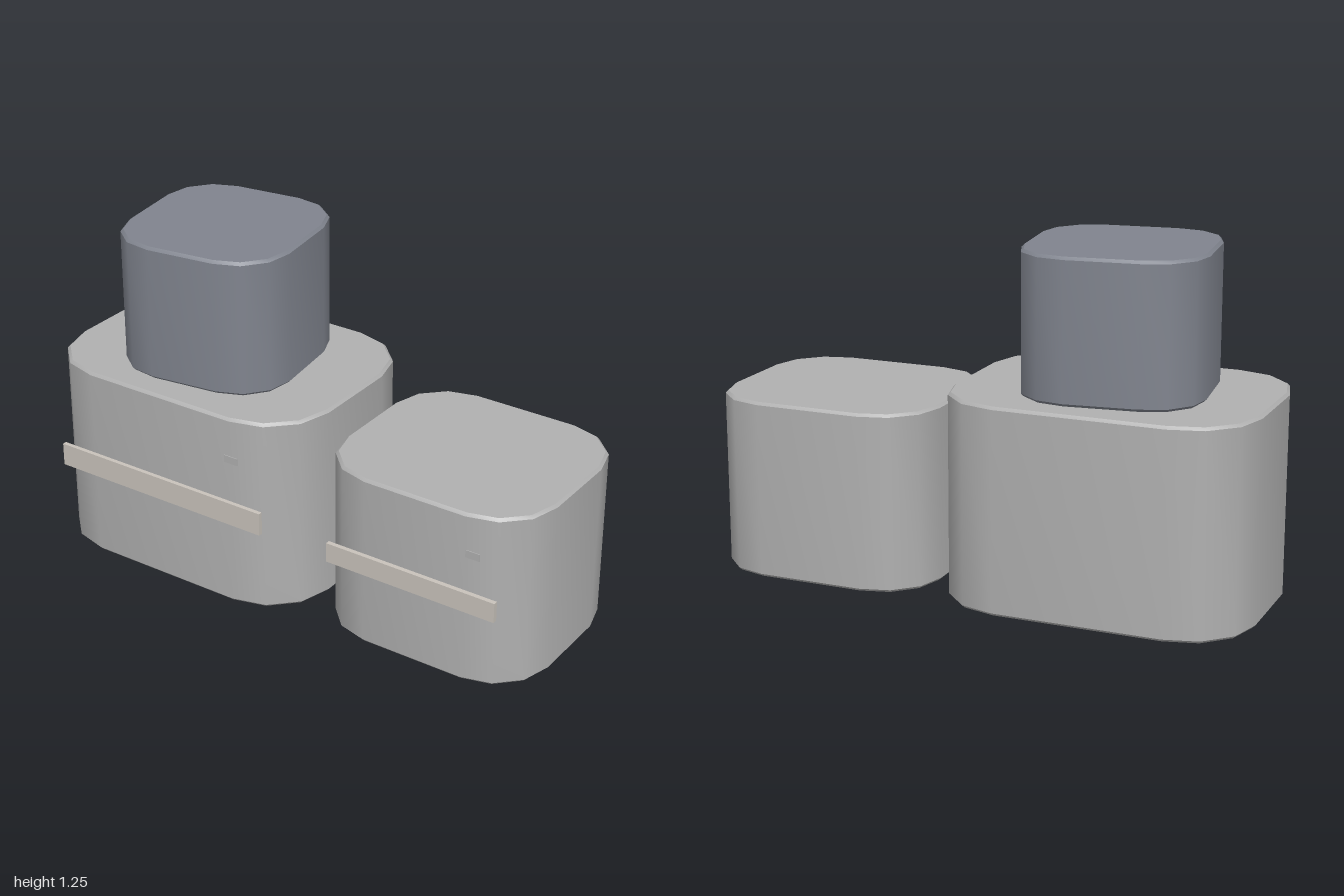
import * as THREE from 'three';
import { toCreasedNormals } from 'three/addons/utils/BufferGeometryUtils.js';

const material = (name, color) => {
  const m = new THREE.MeshStandardMaterial({ color });
  m.name = name;
  return m;
};

// Upright block with rounded vertical corners and a small chamfer top and bottom
function roundedBlock(name, w, h, d, r, mat) {
  const bevel = 0.01;
  const x = w / 2 - bevel, y = d / 2 - bevel, c = r - bevel;
  const shape = new THREE.Shape();
  shape.absarc(x - c, y - c, c, 0, Math.PI / 2);
  shape.absarc(-x + c, y - c, c, Math.PI / 2, Math.PI);
  shape.absarc(-x + c, -y + c, c, Math.PI, Math.PI * 1.5);
  shape.absarc(x - c, -y + c, c, Math.PI * 1.5, Math.PI * 2);
  shape.closePath();
  // absarc samples two points per curve segment, so corners are built explicitly
  const points = [];
  [[1, 1], [-1, 1], [-1, -1], [1, -1]].forEach(([sx, sy], i) => {
    for (let k = 0; k <= 3; k++) {
      const a = (i + k / 3) * Math.PI / 2;
      points.push(new THREE.Vector2(sx * (x - c) + c * Math.cos(a), sy * (y - c) + c * Math.sin(a)));
    }
  });
  const geometry = new THREE.ExtrudeGeometry(new THREE.Shape(points), {
    depth: h - 2 * bevel, bevelEnabled: true, bevelSegments: 1,
    bevelSize: bevel, bevelThickness: bevel,
  });
  geometry.translate(0, 0, bevel);
  geometry.rotateX(-Math.PI / 2);
  const mesh = new THREE.Mesh(toCreasedNormals(geometry, 0.6), mat);
  mesh.name = name;
  return mesh;
}

// Thin box given by its extents
function plate(name, x0, x1, y0, y1, z0, z1, mat) {
  const mesh = new THREE.Mesh(new THREE.BoxGeometry(x1 - x0, y1 - y0, z1 - z0), mat);
  mesh.position.set((x0 + x1) / 2, (y0 + y1) / 2, (z0 + z1) / 2);
  mesh.name = name;
  return mesh;
}

export function createModel() {
  const grey = material('light grey', 0xb0b0b0);
  const slate = material('slate grey', 0x80848e);
  const tape = material('beige tape', 0xc9c3bb);
  const model = new THREE.Group();
  model.name = 'stackedCrates';

  // Large crate
  const large = roundedBlock('largeCrate', 1.11, 0.74, 0.83, 0.25, grey);
  large.position.set(-0.445, 0, -0.01);

  // Small crate beside it
  const small = roundedBlock('smallCrate', 0.83, 0.65, 0.74, 0.22, grey);
  small.position.set(0.585, 0, -0.015);

  // Slightly turned crate on top
  const top = roundedBlock('topCrate', 0.644, 0.505, 0.644, 0.195, slate);
  top.position.set(-0.448, 0.745, -0.013);
  top.rotation.y = 0.13;

  model.add(large, small, top);

  // Front strips and little labels
  model.add(
    plate('largeStrip', -0.89, 0, 0.33, 0.416, 0.407, 0.423, tape),
    plate('smallStrip', 0.25, 0.915, 0.29, 0.364, 0.36, 0.377, tape),
    plate('largeLabel', -0.14, -0.085, 0.583, 0.61, 0.427, 0.43, grey),
    plate('smallLabel', 0.803, 0.857, 0.508, 0.535, 0.381, 0.384, grey),
  );
  return model;
}
